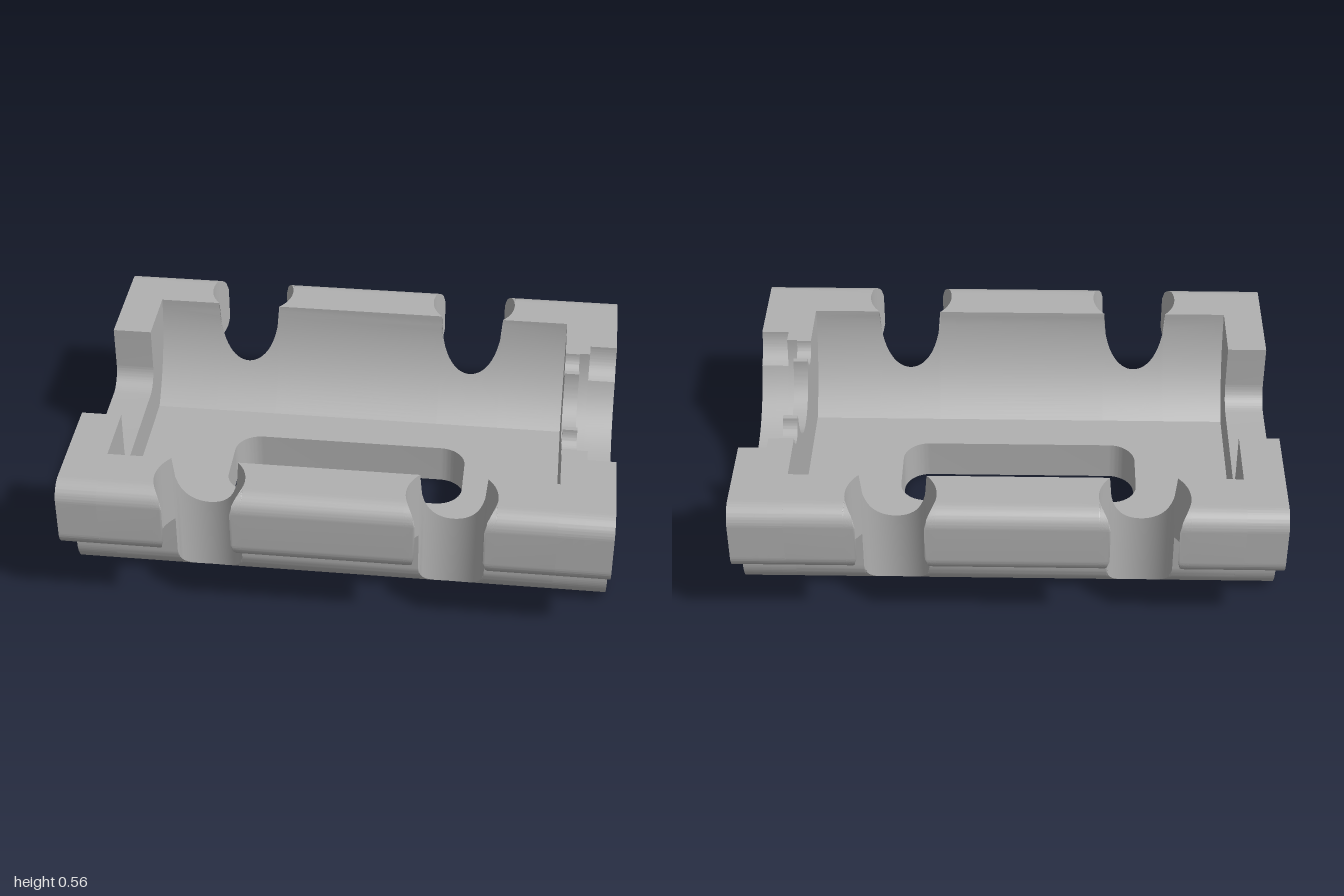
import * as THREE from 'three';
import { toCreasedNormals } from 'three/addons/utils/BufferGeometryUtils.js';

const PI = Math.PI;
const TOP = 0.56, BODY = 0.53, FLANGE = 0.75, UNDER = 0.28;  // heights and half widths
const BODY_R = 0.13, FLANGE_R = 0.07;                        // rounded long edges
const FLOOR = 0.158, FLOOR_Z = 0.345;                        // cavity floor
const X0 = -0.85, X1 = 0.8;                                  // cavity ends
const NOTCH_X = [-0.49, 0.42], NOTCH_Z = 0.64, NOTCH_R = 0.165;
const NOTCH_A = Math.asin((FLANGE - NOTCH_Z) / NOTCH_R);     // where a notch meets the body side

// Half width in z of the bolt notch at a given x
function notchHalf(x) {
  let h = 0;
  for (const c of NOTCH_X) h = Math.max(h, Math.sqrt(Math.max(0, NOTCH_R ** 2 - (x - c) ** 2)));
  return h;
}

// Height rise of a rounded edge that ends at z = edge
function rounding(z, edge, r) {
  const d = Math.max(0, z - (edge - r));
  return r - Math.sqrt(Math.max(0, r * r - d * d));
}

// Sweep a z band along x; its limits, top and bottom follow the given rules
function band(xs, lo, hi, bottom, top, side) {
  const n = 24, pos = [];
  const rings = xs.map((x) => {
    const a = lo(x), b = Math.max(a, hi(x)), low = [], high = [];
    for (let i = 0; i <= n; i++) {
      const z = a + (b - a) * Math.sin((i / n) * PI / 2);
      low.push([x, bottom(z), z * side]);
      high.unshift([x, top(z), z * side]);
    }
    return [...low, ...high];
  });
  for (let k = 0; k + 1 < rings.length; k++) {
    const p = rings[k], q = rings[k + 1];
    for (let i = 0; i < p.length; i++) {
      const j = (i + 1) % p.length;
      const [a, b, c, d] = side > 0 ? [p[i], q[i], q[j], p[j]] : [p[i], p[j], q[j], q[i]];
      pos.push(...a, ...b, ...c, ...a, ...c, ...d);
    }
  }
  const g = new THREE.BufferGeometry();
  g.setAttribute('position', new THREE.Float32BufferAttribute(pos, 3));
  return toCreasedNormals(g, 0.5);
}

// Outer cross-section of the block with a cut-out drawn into its top
function endBlock(x0, x1, cut) {
  const s = new THREE.Shape();
  const f = FLANGE - FLANGE_R, b = BODY - BODY_R;
  s.moveTo(-f, TOP);
  cut(s);
  s.lineTo(f, TOP);
  s.absarc(f, TOP - FLANGE_R, FLANGE_R, PI / 2, 0, true);
  s.absarc(f, UNDER + FLANGE_R, FLANGE_R, 0, -PI / 2, true);
  s.lineTo(BODY, UNDER);
  s.absarc(b, BODY_R, BODY_R, 0, -PI / 2, true);
  s.absarc(-b, BODY_R, BODY_R, -PI / 2, -PI, true);
  s.lineTo(-BODY, UNDER);
  s.absarc(-f, UNDER + FLANGE_R, FLANGE_R, -PI / 2, -PI, true);
  s.absarc(-f, TOP - FLANGE_R, FLANGE_R, PI, PI / 2, true);
  const g = new THREE.ExtrudeGeometry(s, { depth: x1 - x0, bevelEnabled: false, curveSegments: 32 });
  g.rotateY(PI / 2);
  g.translate(x0, 0, 0);
  return toCreasedNormals(g, 0.5);
}

// Cavity floor with a rounded slot through it
function floorPlate() {
  const s = new THREE.Shape();
  s.moveTo(X0, -FLOOR_Z);
  s.lineTo(X1, -FLOOR_Z);
  s.lineTo(X1, FLOOR_Z);
  s.lineTo(X0, FLOOR_Z);
  s.closePath();
  const a = -0.49, b = 0.43, w = 0.18, r = 0.1, hole = new THREE.Path();
  hole.absarc(b - r, w - r, r, 0, PI / 2);
  hole.absarc(a + r, w - r, r, PI / 2, PI);
  hole.absarc(a + r, r - w, r, PI, PI * 1.5);
  hole.absarc(b - r, r - w, r, PI * 1.5, PI * 2);
  hole.closePath();
  s.holes.push(hole);
  const g = new THREE.ExtrudeGeometry(s, { depth: FLOOR, bevelEnabled: false, curveSegments: 12 });
  g.rotateX(PI / 2);
  g.translate(0, FLOOR, 0);
  return toCreasedNormals(g, 0.5);
}

export function createModel() {
  const group = new THREE.Group();
  const metal = new THREE.MeshStandardMaterial({ color: 0xb0b0b0 });
  metal.name = 'grey metal';
  const add = (name, geometry) => {
    const mesh = new THREE.Mesh(geometry, metal);
    mesh.name = name;
    group.add(mesh);
  };

  add('cavityFloor', floorPlate());

  // Stations along x: the body follows the notch arcs, flanges stop at them
  const bodyXs = [X0];
  for (const c of NOTCH_X) {
    for (let i = 0; i <= 24; i++) bodyXs.push(c - NOTCH_R * Math.cos(NOTCH_A + (PI - 2 * NOTCH_A) * i / 24));
  }
  bodyXs.push(X1);
  const arc = [];
  for (let i = 0; i <= 10; i++) arc.push(NOTCH_R * Math.cos(NOTCH_A * i / 10));
  const before = (c) => arc.map((d) => c - d);
  const after = (c) => arc.map((d) => c + d).reverse();
  const [n0, n1] = NOTCH_X;
  const flangeXs = [[X0, ...before(n0)], [...after(n0), ...before(n1)], [...after(n1), X1]];

  const cavity = (z) => TOP - Math.sqrt(Math.max(0, BODY ** 2 - z * z));
  const bodyBottom = (z) => rounding(z, BODY, BODY_R);
  const flangeBottom = (z) => UNDER + rounding(z, FLANGE, FLANGE_R);
  const flangeTop = (z) => TOP - rounding(z, FLANGE, FLANGE_R);

  for (const [side, label] of [[1, 'front'], [-1, 'back']]) {
    add(label + 'Wall', band(bodyXs, () => FLOOR_Z,
      (x) => Math.min(BODY, NOTCH_Z - notchHalf(x)), bodyBottom, cavity, side));
    flangeXs.forEach((xs, i) => {
      add(`${label}FlangeInner${i + 1}`, band(xs, () => BODY,
        (x) => NOTCH_Z - notchHalf(x), flangeBottom, flangeTop, side));
      add(`${label}FlangeOuter${i + 1}`, band(xs, (x) => Math.min(FLANGE, NOTCH_Z + notchHalf(x)),
        () => FLANGE, flangeBottom, flangeTop, side));
    });
  }

  // Plain end with a U-shaped opening
  add('openEnd', endBlock(-1, X0, (s) => {
    const w = 0.285, r = 0.085, y = 0.31;
    s.lineTo(-w, TOP);
    s.absarc(r - w, y + r, r, PI, PI * 1.5);
    s.absarc(w - r, y + r, r, PI * 1.5, PI * 2);
    s.lineTo(w, TOP);
  }));

  // Stepped bearing end: lip with small grooves, seat, seat with side pockets
  const groove = 0.255;
  add('bearingLip', endBlock(X1, 0.855, (s) => {
    for (const [c, r] of [[-groove, 0.06], [0, 0.175], [groove, 0.06]]) s.absarc(c, TOP, r, PI, PI * 2);
  }));
  add('bearingSeat', endBlock(0.855, 0.895, (s) => s.absarc(0, TOP, 0.32, PI, PI * 2)));
  add('bearingMouth', endBlock(0.895, 1, (s) => {
    const small = Math.atan2(0.111, 0.045), big = Math.atan2(0.111, 0.3);
    s.absarc(-groove, TOP, 0.12, PI, PI + small);
    s.absarc(0, TOP, 0.32, PI + big, PI * 2 - big);
    s.absarc(groove, TOP, 0.12, PI * 2 - small, PI * 2);
  }));

  return group;
}
